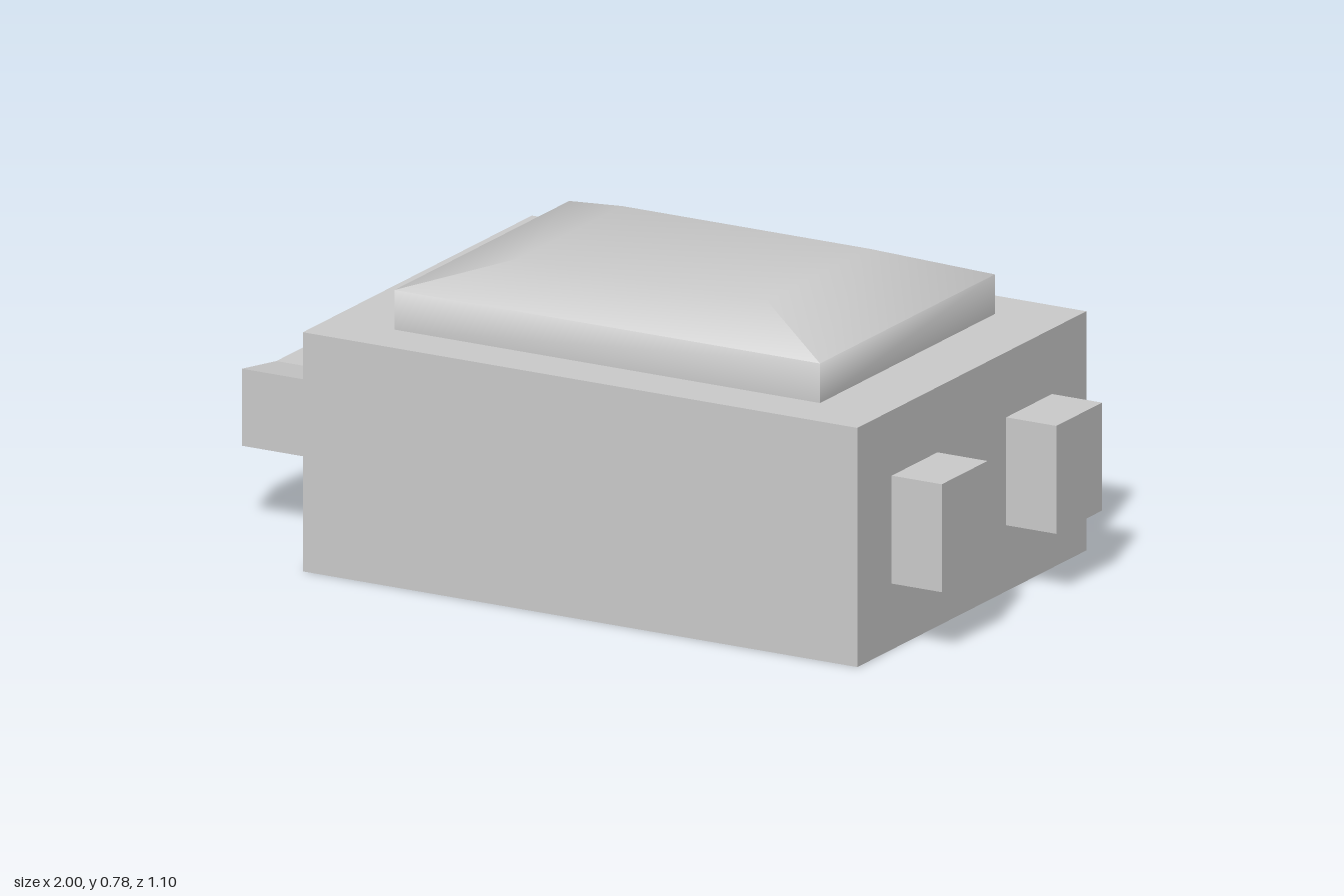
import * as THREE from 'three';
import { toCreasedNormals } from 'three/addons/utils/BufferGeometryUtils.js';

const material = new THREE.MeshStandardMaterial({ color: 0xcccccc });

function add(group, name, geometry) {
  const mesh = new THREE.Mesh(geometry, material);
  mesh.name = name;
  group.add(mesh);
  return mesh;
}

// Box given by its extents on each axis
function boxBetween(x0, x1, y0, y1, z0, z1) {
  return new THREE.BoxGeometry(x1 - x0, y1 - y0, z1 - z0)
    .translate((x0 + x1) / 2, (y0 + y1) / 2, (z0 + z1) / 2);
}

// Rectangular cross-sections [y, x0, x1, halfDepth] joined from bottom to top
function stackedRings(rings) {
  const positions = [], index = [];
  for (const [y, x0, x1, d] of rings) {
    positions.push(x0, y, -d, x0, y, d, x1, y, d, x1, y, -d);
  }
  for (let r = 0; r < rings.length - 1; r++) {
    for (let i = 0; i < 4; i++) {
      const a = r * 4 + i, b = r * 4 + (i + 1) % 4;
      index.push(a, b, b + 4, a, b + 4, a + 4);
    }
  }
  const t = (rings.length - 1) * 4;
  index.push(t, t + 1, t + 2, t, t + 2, t + 3);
  index.push(0, 2, 1, 0, 3, 2);
  const geometry = new THREE.BufferGeometry();
  geometry.setAttribute('position', new THREE.Float32BufferAttribute(positions, 3));
  geometry.setIndex(index);
  return geometry;
}

// The handle is thinner towards its middle: full height only at its outer sides
function pinchMiddle(geometry) {
  const p = geometry.attributes.position;
  for (let i = 0; i < p.count; i++) {
    const inset = Math.abs(p.getZ(i)) < 0.2 ? 0.025 : 0;
    p.setY(i, p.getY(i) - Math.sign(p.getY(i) - 0.3) * inset);
  }
  geometry.computeVertexNormals();
  return geometry;
}

export function createModel() {
  const model = new THREE.Group();

  // Main block
  add(model, 'body', boxBetween(-0.69, 0.86, 0, 0.605, -0.55, 0.55));

  // Raised lid with softly shaded sloping edges
  const lid = stackedRings([
    [0.605, -0.51, 0.68, 0.42],
    [0.705, -0.51, 0.68, 0.42],
    [0.778, -0.26, 0.43, 0.245],
  ]);
  add(model, 'lid', toCreasedNormals(lid, 1.32));

  // U-shaped handle on one end
  const handle = new THREE.Group();
  handle.name = 'handle';
  add(handle, 'handleBar', pinchMiddle(boxBetween(-1, -0.89, 0.205, 0.4, -0.145, 0.145)));
  add(handle, 'handleArmFront', pinchMiddle(boxBetween(-1, -0.69, 0.205, 0.4, 0.145, 0.31)));
  add(handle, 'handleArmBack', pinchMiddle(boxBetween(-1, -0.69, 0.205, 0.4, -0.31, -0.145)));
  model.add(handle);

  // Pair of lugs on the other end
  for (const [name, z] of [['lugFront', 0.275], ['lugBack', -0.275]]) {
    add(model, name, boxBetween(0.86, 1, 0.167, 0.44, z - 0.11, z + 0.11));
  }

  return model;
}
